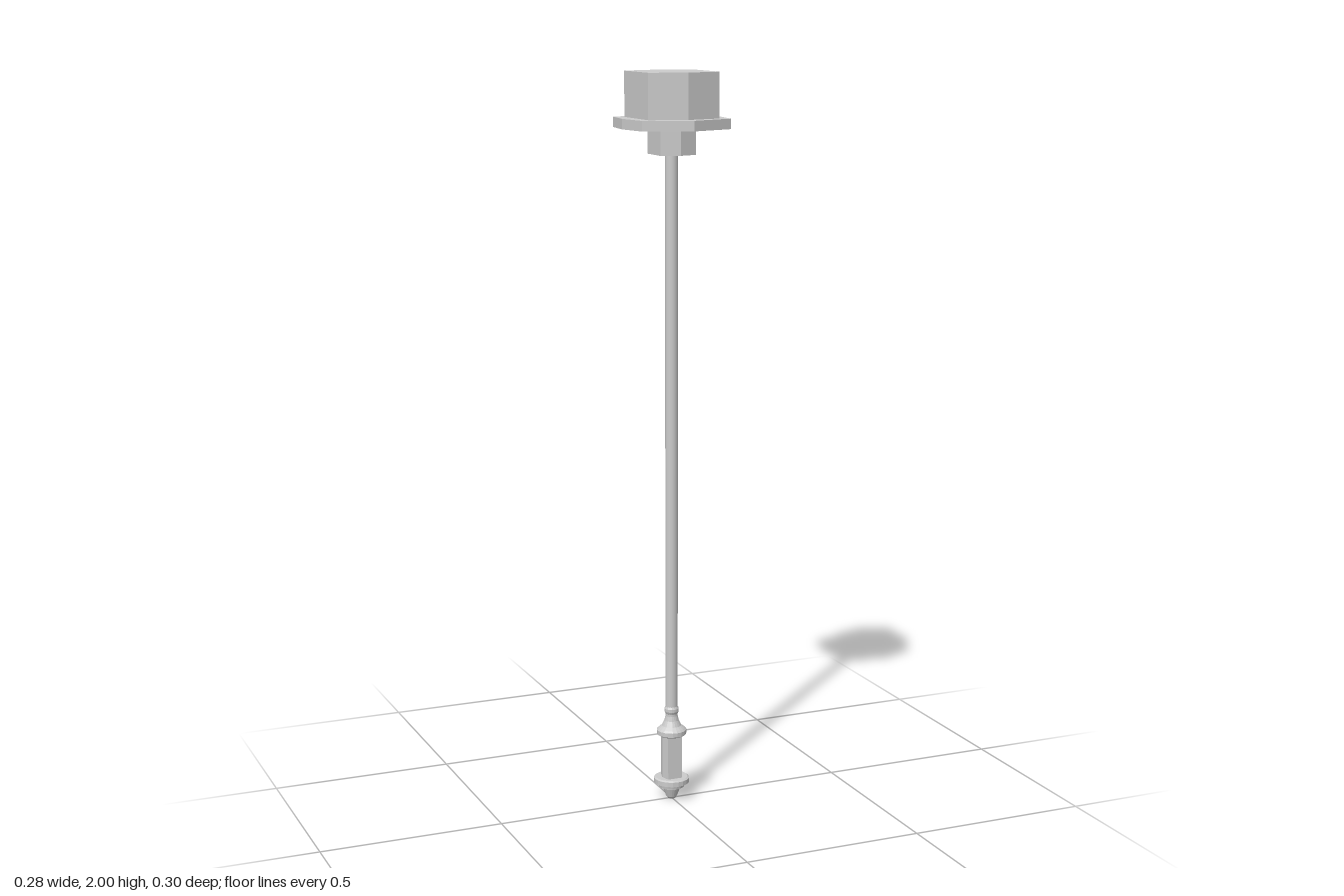
import * as THREE from 'three';

const material = new THREE.MeshStandardMaterial({ color: 0xcccccc, flatShading: true });
const smoothMaterial = new THREE.MeshStandardMaterial({ color: 0xcccccc });

// Upright prism from a plan outline of [x, z] corners
function prism(name, corners, y0, y1) {
  const shape = new THREE.Shape(corners.map(([x, z]) => new THREE.Vector2(x, -z)));
  const geometry = new THREE.ExtrudeGeometry(shape, { depth: y1 - y0, bevelEnabled: false });
  geometry.rotateX(-Math.PI / 2).translate(0, y0, 0);
  const mesh = new THREE.Mesh(geometry, material);
  mesh.name = name;
  return mesh;
}

// Hexagon with corners on the z axis and flat sides facing x
const hexagon = (x, z, tip) => [[0, tip], [x, z], [x, -z], [0, -tip], [-x, -z], [-x, z]];

// Turned part from [radius, y] pairs
function turned(name, profile) {
  const points = profile.map(([r, y]) => new THREE.Vector2(r, y));
  const mesh = new THREE.Mesh(new THREE.LatheGeometry(points, 20), material);
  mesh.name = name;
  return mesh;
}

export function createModel() {
  const group = new THREE.Group();
  group.name = 'hangingPole';

  // Ceiling block, flange and collar
  group.add(prism('topBlock', hexagon(0.1, 0.082, 0.112), 1.88, 2));
  group.add(prism('flange', [
    [0, 0.149], [0.125, 0.101], [0.139, 0], [0.125, -0.101],
    [0, -0.149], [-0.125, -0.101], [-0.139, 0], [-0.125, 0.101],
  ], 1.853, 1.88));
  group.add(prism('collar', hexagon(0.05, 0.045, 0.062), 1.785, 1.853));

  // Long rod
  const rod = new THREE.Mesh(new THREE.CylinderGeometry(0.017, 0.017, 1.545, 16, 1, true), smoothMaterial);
  rod.position.y = 0.24 + 1.545 / 2;
  rod.name = 'rod';
  group.add(rod);

  // Bell-shaped cap over the lower body
  group.add(turned('upperCap', [
    [0, 0.185], [0.035, 0.185], [0.041, 0.189], [0.041, 0.201], [0.036, 0.206],
    [0.027, 0.213], [0.02, 0.228], [0.016, 0.245], [0.02, 0.254], [0.02, 0.262], [0.016, 0.27],
  ]));

  // Faceted lower body, corners on the x axis
  group.add(prism('lowerBody', [
    [0.028, 0], [0.021, 0.026], [-0.021, 0.026], [-0.028, 0], [-0.021, -0.026], [0.021, -0.026],
  ], 0.06, 0.188));

  // Stepped base disc and tapered tip
  group.add(turned('bottomFinial', [
    [0, 0], [0.01, 0], [0.015, 0.006], [0.024, 0.03], [0.024, 0.036], [0.036, 0.036],
    [0.038, 0.046], [0.049, 0.048], [0.049, 0.061], [0.044, 0.064], [0, 0.064],
  ]));

  return group;
}
